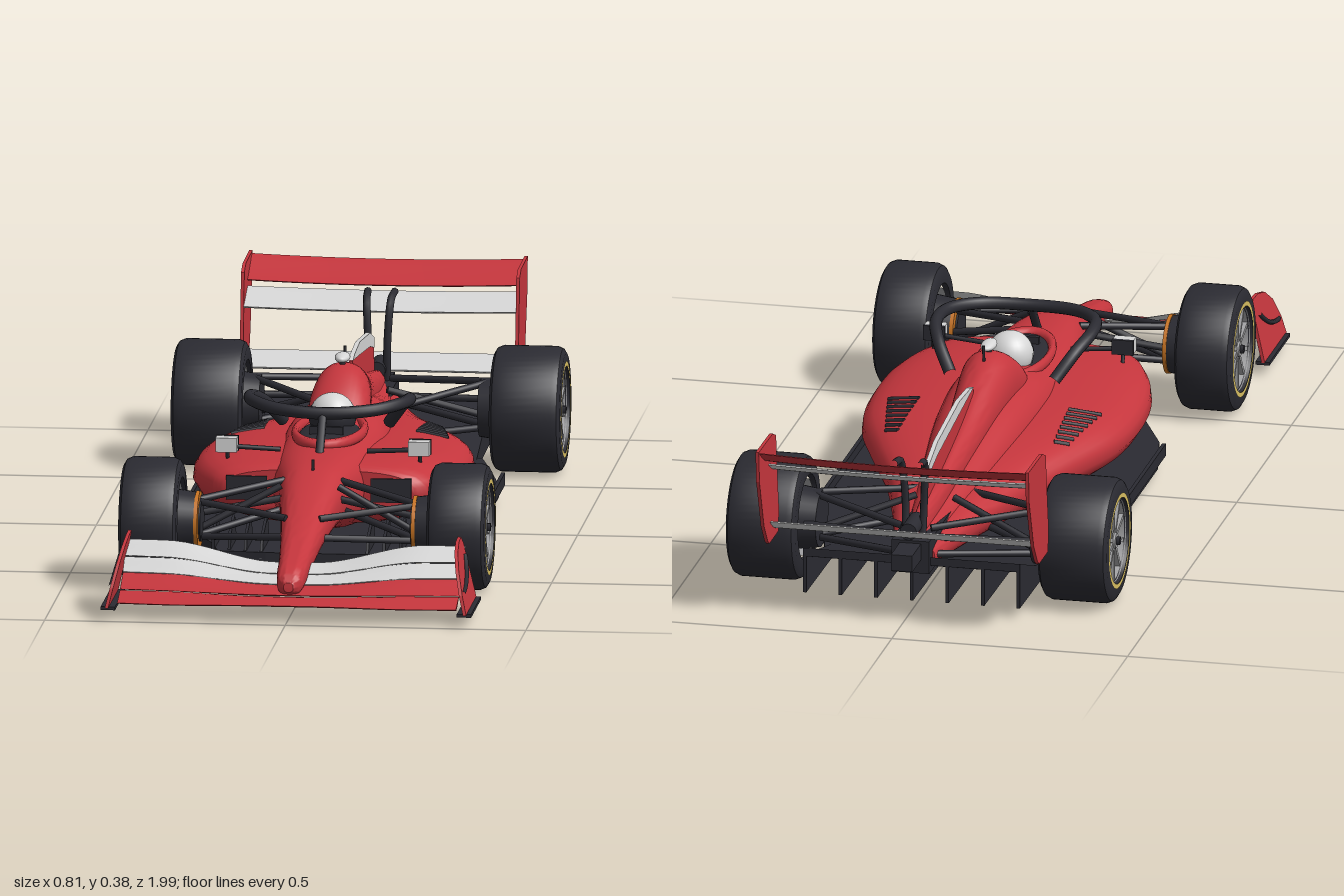
import * as THREE from 'three';
import { toCreasedNormals } from 'three/addons/utils/BufferGeometryUtils.js';

const paint = (name, color, side = THREE.FrontSide) => {
  const m = new THREE.MeshStandardMaterial({ color, side });
  m.name = name;
  return m;
};
const V = (x, y, z) => new THREE.Vector3(x, y, z);

export function createModel() {
  const root = new THREE.Group();
  root.name = 'racingCar';
  const red = paint('red', 0xc5363d);
  const dark = paint('carbon', 0x2b2b32);
  const white = paint('white', 0xd6d6d6);
  const silver = paint('rimSilver', 0xa2a2a4, THREE.DoubleSide);
  const yellow = paint('tyreYellow', 0xd9bf62);
  const orange = paint('brakeOrange', 0xc87422);

  const add = (name, geo, mat, parent = root) => {
    const m = new THREE.Mesh(geo, mat);
    m.name = name;
    parent.add(m);
    return m;
  };

  // Closed skin over equal-sized rings, capped at both ends, wound outwards
  const skin = (rings, crease = 0.8) => {
    const n = rings[0].length, pos = [], idx = [];
    rings.forEach(r => r.forEach(p => pos.push(p.x, p.y, p.z)));
    for (let i = 0; i < rings.length - 1; i++) for (let j = 0; j < n; j++) {
      const a = i * n + j, b = i * n + (j + 1) % n;
      idx.push(a, b, a + n, b, b + n, a + n);
    }
    const last = (rings.length - 1) * n;
    for (let j = 1; j < n - 1; j++) idx.push(0, j + 1, j, last, last + j, last + j + 1);
    const at = k => V(pos[3 * k], pos[3 * k + 1], pos[3 * k + 2]);
    let volume = 0;
    for (let i = 0; i < idx.length; i += 3) volume += at(idx[i]).dot(at(idx[i + 1]).cross(at(idx[i + 2])));
    if (volume < 0) idx.reverse();
    const g = new THREE.BufferGeometry();
    g.setAttribute('position', new THREE.Float32BufferAttribute(pos, 3));
    g.setIndex(idx);
    return toCreasedNormals(g, crease);
  };

  // Smooth interpolation of rows [z, halfWidth, bottom, top], listed front to back
  const rowAt = (rows, z) => {
    let i = 0;
    while (i < rows.length - 2 && z < rows[i + 1][0]) i++;
    const A = rows[i], B = rows[i + 1], h = B[0] - A[0], t = (z - A[0]) / h;
    const slope = (k, c) => {
      const p = rows[Math.max(k - 1, 0)], q = rows[Math.min(k + 1, rows.length - 1)];
      return (q[c] - p[c]) / (q[0] - p[0]);
    };
    return [1, 2, 3].map(c => (2 * t ** 3 - 3 * t * t + 1) * A[c] + (3 * t * t - 2 * t ** 3) * B[c]
      + h * ((t ** 3 - 2 * t * t + t) * slope(i, c) + (t ** 3 - t * t) * slope(i + 1, c)));
  };
  const pow = (v, e) => Math.sign(v) * Math.abs(v) ** e;
  const loft = (rows, p, undercut = 0) => {
    const rings = [];
    const ring = z => {
      const [w, yb, yt] = rowAt(rows, z);
      return Array.from({ length: 36 }, (_, k) => {
        const a = k / 18 * Math.PI, c = Math.cos(a), s = Math.sin(a);
        return V(w * pow(c, 2 / p) * (1 - undercut * Math.max(0, -s)), (yb + yt) / 2 + (yt - yb) / 2 * pow(s, 2 / p), z);
      });
    };
    for (let i = 0; i < rows.length - 1; i++)
      for (let k = 0; k < 5; k++) rings.push(ring(rows[i][0] + (rows[i + 1][0] - rows[i][0]) * k / 5));
    rings.push(ring(rows[rows.length - 1][0]));
    return skin(rings);
  };

  // Straight round bar between two points
  const rod = (name, a, b, r, mat = dark, parent = root) => {
    const m = add(name, new THREE.CylinderGeometry(r, r, a.distanceTo(b), 10), mat, parent);
    m.position.copy(a).lerp(b, 0.5);
    m.quaternion.setFromUnitVectors(V(0, 1, 0), b.clone().sub(a).normalize());
    return m;
  };
  const box = (name, w, h, d, x, y, z, mat, parent = root) => {
    const m = add(name, new THREE.BoxGeometry(w, h, d), mat, parent);
    m.position.set(x, y, z);
    return m;
  };
  // Upright plate from (z, y) points
  const plate = (name, pts, t, x, mat) => {
    const s = new THREE.Shape(pts.map(p => new THREE.Vector2(...p)));
    const g = new THREE.ExtrudeGeometry(s, { depth: t, bevelEnabled: false });
    g.rotateY(-Math.PI / 2).translate(x + t / 2, 0, 0);
    return add(name, g, mat);
  };
  // Cambered aerofoil spanning x; edge(x) gives [zFront, yFront, zRear, yRear]
  const foil = (name, span, edge, thick, mat) => {
    const rings = [];
    for (let i = 0; i <= 28; i++) {
      const x = span * (i / 14 - 1), [z0, y0, z1, y1] = edge(x), ring = [];
      for (let k = 0; k < 14; k++) {
        const t = k < 7 ? k / 7 : (14 - k) / 7, side = k < 7 ? 0.5 : -0.5;
        const y = y0 + (y1 - y0) * t ** 1.4 + side * thick * (0.3 + Math.sin(Math.PI * Math.min(1, t * 0.8 + 0.15)));
        ring.push(V(x, y, z0 + (z1 - z0) * t));
      }
      rings.push(ring);
    }
    return add(name, skin(rings), mat);
  };

  // Bodywork
  add('noseAndTub', loft([
    [0.938, 0.01, 0.06, 0.08], [0.915, 0.026, 0.049, 0.1], [0.8, 0.034, 0.065, 0.128], [0.65, 0.047, 0.09, 0.168],
    [0.47, 0.07, 0.1, 0.222], [0.36, 0.092, 0.08, 0.234], [0.25, 0.108, 0.06, 0.238], [0.08, 0.112, 0.06, 0.245],
    [-0.02, 0.112, 0.06, 0.258], [-0.2, 0.1, 0.06, 0.25], [-0.4, 0.078, 0.06, 0.215], [-0.6, 0.052, 0.07, 0.18],
    [-0.8, 0.028, 0.1, 0.16]], 2.6), red);
  add('engineCover', loft([
    [0.03, 0.055, 0.18, 0.245], [-0.04, 0.064, 0.18, 0.302], [-0.11, 0.06, 0.18, 0.332], [-0.2, 0.052, 0.18, 0.314],
    [-0.35, 0.04, 0.17, 0.268], [-0.5, 0.03, 0.15, 0.235], [-0.7, 0.02, 0.12, 0.2], [-0.8, 0.015, 0.12, 0.18]], 2.2), red);
  const pods = [
    [0.35, 0.2, 0.1, 0.2], [0.33, 0.225, 0.085, 0.21], [0.2, 0.274, 0.065, 0.216], [0.05, 0.288, 0.055, 0.211],
    [-0.1, 0.272, 0.055, 0.205], [-0.25, 0.215, 0.055, 0.195], [-0.4, 0.15, 0.055, 0.18], [-0.6, 0.09, 0.07, 0.16],
    [-0.8, 0.045, 0.09, 0.14]];
  add('sidepods', loft(pods, 3, 0.25), red);
  const podTop = (x, z) => {
    const [w, yb, yt] = rowAt(pods, z);
    return V(x, (yb + yt) / 2 + (yt - yb) / 2 * Math.max(0, 1 - Math.abs(x / w) ** 3) ** (1 / 3), z);
  };
  plate('sharkFin', [[-0.25, 0.25], [-0.27, 0.305], [-0.4, 0.318], [-0.6, 0.297], [-0.68, 0.272], [-0.7, 0.18], [-0.5, 0.2]], 0.007, 0, red);
  plate('finTopStripe', [[-0.27, 0.307], [-0.3, 0.314], [-0.4, 0.32], [-0.6, 0.299], [-0.68, 0.274], [-0.688, 0.25], [-0.6, 0.27], [-0.4, 0.293]], 0.0095, 0, white);

  // Cockpit, driver and head protection
  const opening = add('cockpitOpening', new THREE.SphereGeometry(1, 28, 14), dark);
  opening.scale.set(0.062, 0.012, 0.14);
  opening.position.set(0, 0.237, 0.145);
  const rim = add('cockpitRim', new THREE.TorusGeometry(1, 0.12, 10, 32).rotateX(Math.PI / 2), red);
  rim.scale.set(0.07, 0.1, 0.15);
  rim.position.set(0, 0.24, 0.135);
  const helmet = add('helmet', new THREE.SphereGeometry(0.048, 28, 20), white);
  helmet.position.set(0, 0.262, 0.085);
  const visor = add('visor', new THREE.SphereGeometry(0.0495, 24, 10, 0, Math.PI, 1.1, 0.95), dark);
  visor.position.copy(helmet.position);
  box('steeringWheel', 0.07, 0.03, 0.012, 0, 0.247, 0.2, dark);
  const halo = [[0.11, 0.235, 0.01], [0.145, 0.285, 0.055], [0.165, 0.308, 0.12], [0.155, 0.312, 0.19], [0.1, 0.308, 0.25]];
  const haloPath = [...halo, [0, 0.304, 0.272], ...halo.map(p => [-p[0], p[1], p[2]]).reverse()].map(p => V(...p));
  add('halo', new THREE.TubeGeometry(new THREE.CatmullRomCurve3(haloPath), 70, 0.013, 12), dark);
  rod('haloPillar', V(0, 0.304, 0.272), V(0, 0.22, 0.345), 0.009);
  const camera = add('roofCamera', new THREE.SphereGeometry(1, 18, 12), white);
  camera.scale.set(0.016, 0.01, 0.034);
  camera.position.set(0, 0.346, -0.11);
  rod('cameraStalk', V(0, 0.32, -0.11), V(0, 0.342, -0.11), 0.006);
  rod('antenna', V(0, 0.31, -0.155), V(0, 0.36, -0.16), 0.003);
  rod('noseProbe', V(0, 0.215, 0.465), V(0, 0.245, 0.465), 0.003);

  // Floor and diffuser
  const half = [[0.1, 0.45], [0.2, 0.44], [0.225, 0.35], [0.285, 0.22], [0.305, 0.12], [0.305, -0.3], [0.27, -0.46], [0.24, -0.58]];
  const outline = [...half, ...half.map(p => [-p[0], p[1]]).reverse()].map(p => new THREE.Vector2(...p));
  const floor = new THREE.ExtrudeGeometry(new THREE.Shape(outline), { depth: 0.024, bevelEnabled: false });
  add('floor', floor.rotateX(Math.PI / 2).translate(0, 0.044, 0), dark);
  const ramp = z => [V(-0.23, 0, z), V(0.23, 0, z), V(0.23, 0.018, z), V(-0.23, 0.018, z)];
  add('diffuserRamp', skin([[-0.56, 0.026], [-0.68, 0.055], [-0.82, 0.105]].map(([z, y]) => ramp(z).map(p => p.setY(p.y + y))), 0.3), dark);
  for (let i = -3; i <= 3; i++)
    plate('diffuserStrake', [[-0.56, 0.022], [-0.82, 0.026], [-0.82, 0.115], [-0.7, 0.07], [-0.56, 0.042]], 0.007, i * 0.0755, dark);
  box('gearbox', 0.08, 0.07, 0.22, 0, 0.125, -0.72, dark);
  box('crashStructure', 0.045, 0.035, 0.13, 0, 0.137, -0.845, dark);
  const pipe = add('exhaust', new THREE.CylinderGeometry(0.018, 0.018, 0.08, 16).rotateX(Math.PI / 2), dark);
  pipe.position.set(0, 0.185, -0.81);

  // Front wing: two red elements ahead of two white flaps
  const frontWing = (name, mat, z0, z1, yMid, yOut) => foil(name, 0.352, x => {
    const t = THREE.MathUtils.smoothstep(Math.abs(x), 0.04, 0.27), sweep = 0.016 * (x / 0.35) ** 2;
    const mix = k => yMid[k] + (yOut[k] - yMid[k]) * t;
    return [z0 - sweep, mix(0), z1 - sweep * 0.6, mix(1)];
  }, 0.005, mat);
  frontWing('frontWingMainPlane', red, 0.992, 0.925, [0.04, 0.049], [0.036, 0.054]);
  frontWing('frontWingLowerFlap', red, 0.935, 0.868, [0.051, 0.063], [0.054, 0.08]);
  frontWing('frontWingMiddleFlap', white, 0.882, 0.836, [0.064, 0.08], [0.08, 0.107]);
  frontWing('frontWingTopFlap', white, 0.85, 0.8, [0.08, 0.097], [0.108, 0.137]);

  // Rear wing
  const rearWing = (name, mat, z0, y0, z1, y1, dip) => foil(name, 0.283, x => {
    const d = dip * (1 - (x / 0.283) ** 2);
    return [z0, y0 - d, z1, y1 - d];
  }, 0.008, mat);
  rearWing('rearWingMainPlane', white, -0.825, 0.3, -0.91, 0.332, 0.004);
  rearWing('rearWingFlap', red, -0.9, 0.342, -0.992, 0.384, 0.006);
  rearWing('beamWing', white, -0.83, 0.172, -0.895, 0.202, 0);

  // Wheel: outer face towards +y before turning
  const wheel = (name, side, z, inner, outer, front) => {
    const g = new THREE.Group();
    g.name = name;
    const w = (outer - inner) / 2, r = 0.131;
    const lathe = (pts, crease) => toCreasedNormals(new THREE.LatheGeometry(pts.map(p => new THREE.Vector2(...p)), 56), crease);
    add('tyre', lathe([[0.086, -w + 0.01], [0.09, -w], [0.116, -w], [0.126, -w + 0.006], [r, -w + 0.018], [r, w - 0.018],
      [0.126, w - 0.006], [0.116, w], [0.09, w], [0.086, w - 0.01]], 0.6), dark, g);
    add('tyreStripe', new THREE.RingGeometry(0.09, 0.1, 56).rotateX(-Math.PI / 2).translate(0, w + 0.001, 0), yellow, g);
    add('rimBarrel', new THREE.CylinderGeometry(0.087, 0.08, 2 * w - 0.012, 48, 1, true), silver, g);
    add('rimBack', new THREE.CylinderGeometry(0.08, 0.08, 0.01, 40).translate(0, w - 0.05, 0), dark, g);
    add('hub', new THREE.CylinderGeometry(0.016, 0.022, 0.045, 20).translate(0, w - 0.028, 0), silver, g);
    add('wheelNut', new THREE.CylinderGeometry(0.009, 0.009, 0.008, 6).translate(0, w - 0.002, 0), dark, g);
    for (let i = 0; i < 10; i++) {
      const s = new THREE.BoxGeometry(0.074, 0.016, 0.009).translate(0.05, w - 0.018, 0);
      add('spoke', s.rotateY(i * Math.PI / 5), silver, g);
    }
    add('brakeDrum', new THREE.CylinderGeometry(0.07, 0.06, 0.07, 32).translate(0, -w + 0.005, 0), dark, g);
    if (front) {
      add('brakeDisc', new THREE.CylinderGeometry(0.062, 0.062, 0.008, 32).translate(0, -w - 0.034, 0), orange, g);
      add('brakeCover', new THREE.CylinderGeometry(0.043, 0.043, 0.012, 28).translate(0, -w - 0.036, 0), dark, g);
    }
    g.rotation.z = -side * Math.PI / 2;
    g.position.set(side * (inner + outer) / 2, 0.134, z);
    root.add(g);
  };

  for (const s of [1, -1]) {
    const P = (x, y, z) => V(s * x, y, z);
    const label = s > 0 ? 'left' : 'right';
    wheel(label + 'FrontWheel', s, 0.578, 0.26, 0.38, true);
    wheel(label + 'RearWheel', s, -0.66, 0.257, 0.404, false);

    // Suspension arms
    const arms = [
      [[0.235, 0.175, 0.57], [0.06, 0.2, 0.46]], [[0.235, 0.175, 0.57], [0.035, 0.16, 0.66]],
      [[0.235, 0.1, 0.57], [0.06, 0.14, 0.46]], [[0.235, 0.1, 0.57], [0.035, 0.12, 0.66]],
      [[0.235, 0.11, 0.56], [0.06, 0.2, 0.52]], [[0.235, 0.14, 0.53], [0.06, 0.17, 0.5]],
      [[0.25, 0.19, -0.66], [0.06, 0.16, -0.5]], [[0.25, 0.19, -0.66], [0.03, 0.17, -0.77]],
      [[0.25, 0.095, -0.66], [0.06, 0.1, -0.5]], [[0.25, 0.095, -0.66], [0.03, 0.12, -0.79]],
      [[0.25, 0.11, -0.68], [0.04, 0.18, -0.6]], [[0.25, 0.14, -0.72], [0.03, 0.14, -0.74]]];
    arms.forEach(([a, b]) => rod('suspensionArm', P(...a), P(...b), 0.0075));

    // Mirror and sidepod details
    box('mirror', 0.044, 0.03, 0.026, s * 0.2, 0.234, 0.268, white);
    box('mirrorGlass', 0.046, 0.032, 0.008, s * 0.2, 0.234, 0.252, dark);
    rod('mirrorArm', P(0.09, 0.222, 0.25), P(0.185, 0.228, 0.258), 0.005);
    rod('mirrorStay', P(0.2, 0.2, 0.25), P(0.2, 0.222, 0.258), 0.004);
    box('airIntake', 0.085, 0.05, 0.009, s * 0.15, 0.16, 0.35, dark);
    for (let i = 0; i < 8; i++) {
      const z = -0.055 - i * 0.023, x = 0.158 + 0.001 * i;
      rod('louvre', podTop(s * x, z - 0.012), podTop(s * (x + 0.068 - 0.0055 * i), z), 0.005);
    }
    // Floor edge rail and inlet fences
    box('floorEdgeRail', 0.008, 0.026, 0.5, s * 0.309, 0.05, -0.09, dark);
    for (let i = 0; i < 4; i++)
      plate('floorFence', [[0.45 - i * 0.01, 0.03], [0.42, 0.075], [0.34, 0.1], [0.3, 0.03]], 0.006, s * (0.11 + i * 0.034), dark);

    // Front endplate, leaning inwards to the top
    const end = plate('frontWingEndplate', [[0.995, 0.03], [0.985, 0.07], [0.955, 0.115], [0.91, 0.145], [0.86, 0.158], [0.815, 0.16],
      [0.8, 0.145], [0.795, 0.03]], 0.007, 0, red);
    const pos = end.geometry.attributes.position;
    for (let i = 0; i < pos.count; i++) pos.setX(i, pos.getX(i) + s * (0.372 - 0.23 * (pos.getY(i) - 0.03)));
    end.geometry.computeVertexNormals();
    box('endplateFoot', 0.03, 0.007, 0.19, s * 0.37, 0.028, 0.892, dark);
    const blade = new THREE.QuadraticBezierCurve3(P(0.366, 0.07, 0.965), P(0.368, 0.078, 0.88), P(0.356, 0.125, 0.83));
    add('divePlane', new THREE.TubeGeometry(blade, 16, 0.005, 8), dark);

    // Rear endplate and wing support
    plate('rearWingEndplate', [[-0.84, 0.372], [-0.87, 0.385], [-0.998, 0.387], [-0.992, 0.32], [-0.95, 0.21], [-0.915, 0.165],
      [-0.9, 0.155], [-0.82, 0.155], [-0.813, 0.2], [-0.83, 0.3]], 0.007, s * 0.286, red);
    const neck = new THREE.CatmullRomCurve3([P(0.018, 0.14, -0.8), P(0.02, 0.24, -0.79), P(0.025, 0.325, -0.81), P(0.028, 0.335, -0.86)]);
    add('wingSupport', new THREE.TubeGeometry(neck, 20, 0.008, 8), dark);
  }
  return root;
}
